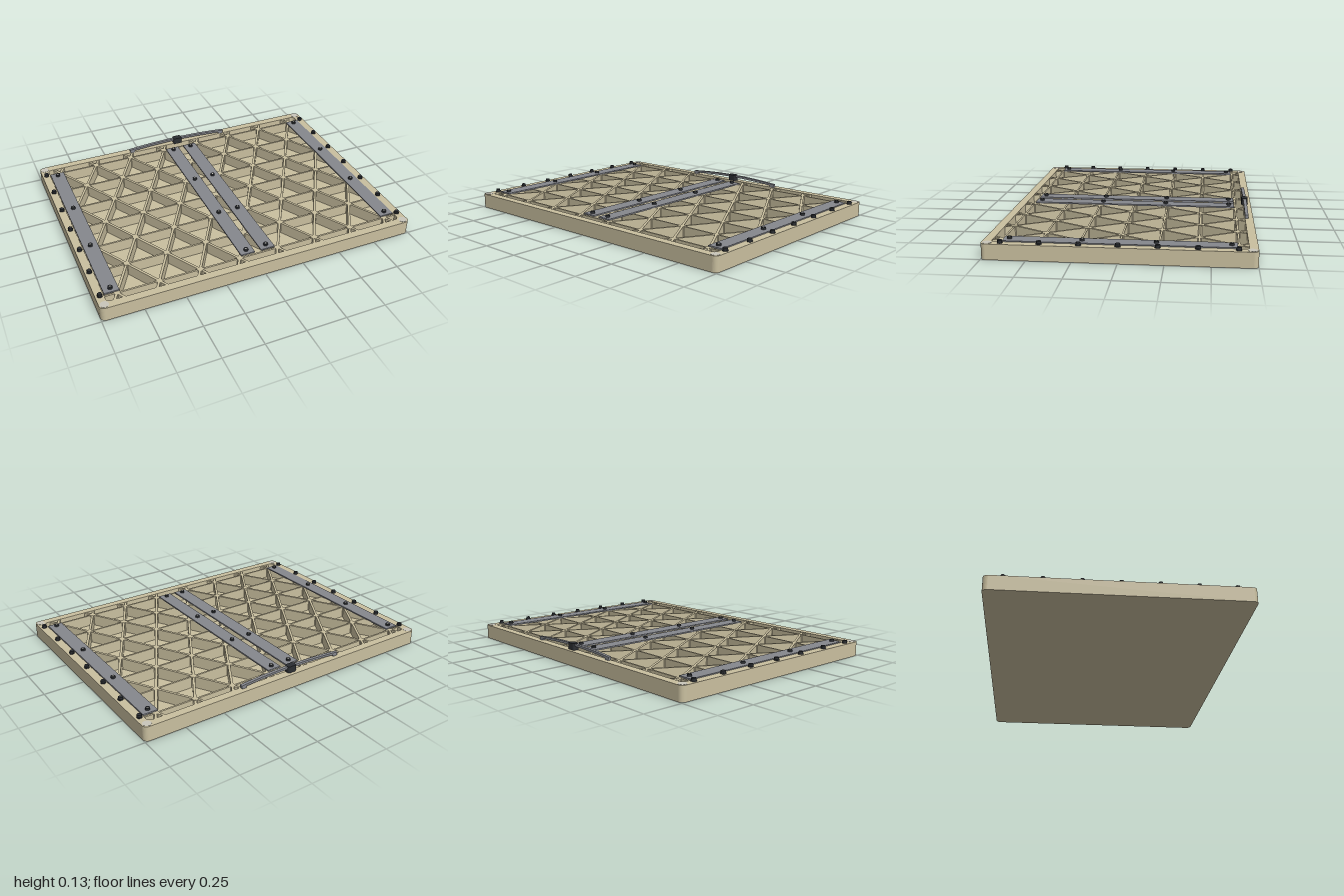
import * as THREE from 'three';

const mat = (name, color) => Object.assign(new THREE.MeshStandardMaterial({ color }), { name });

export function createModel() {
  const tan = mat('tan panel', 0xc9bf9f);
  const steel = mat('grey metal', 0x85878d);
  const dark = mat('dark hardware', 0x2b2e32);
  const pale = mat('pale corner and sockets', 0xc9c6ba);
  const root = new THREE.Group();
  root.name = 'stiffenedPanel';

  const add = (name, geo, m, x = 0, y = 0, z = 0, parent = root) => {
    const mesh = new THREE.Mesh(geo, m);
    mesh.name = name;
    mesh.position.set(x, y, z);
    parent.add(mesh);
    return mesh;
  };
  const group = (name) => {
    const g = new THREE.Group();
    g.name = name;
    root.add(g);
    return g;
  };

  // Rounded rectangle outline, extruded upwards
  const outline = (w, d, r, path = new THREE.Shape()) => {
    const a = w / 2, b = d / 2;
    path.moveTo(-a + r, -b);
    path.lineTo(a - r, -b);
    path.absarc(a - r, -b + r, r, -Math.PI / 2, 0);
    path.lineTo(a, b - r);
    path.absarc(a - r, b - r, r, 0, Math.PI / 2);
    path.lineTo(-a + r, b);
    path.absarc(-a + r, b - r, r, Math.PI / 2, Math.PI);
    path.lineTo(-a, -b + r);
    path.absarc(-a + r, -b + r, r, Math.PI, Math.PI * 1.5);
    return path;
  };
  const slab = (shape, depth) =>
    new THREE.ExtrudeGeometry(shape, { depth, bevelEnabled: false, curveSegments: 8 }).rotateX(-Math.PI / 2);

  // Tray: outer frame and closed floor
  const frame = outline(2, 1.5, 0.03);
  frame.holes.push(outline(1.9, 1.4, 0.025, new THREE.Path()));
  add('outerFrame', slab(frame, 0.09), tan);
  add('floor', slab(outline(1.9, 1.4, 0.025), 0.015), tan);

  // Triangular rib grid
  const ribs = group('ribGrid');
  const pitch = 0.25, row = 0.2165, floorY = 0.012;
  const rib = (x1, z1, x2, z2, width, top) => {
    const len = Math.hypot(x2 - x1, z2 - z1);
    const m = add('rib', new THREE.BoxGeometry(len, top - floorY, width), tan,
      (x1 + x2) / 2, (top + floorY) / 2, (z1 + z2) / 2, ribs);
    m.rotation.y = -Math.atan2(z2 - z1, x2 - x1);
  };
  for (let j = -3; j <= 3; j++) rib(-0.96, j * row, 0.96, j * row, 0.011, 0.086);
  const slope = pitch / 2 / row;
  for (const s of [-1, 1]) {
    for (let i = -5; i <= 5; i++) {
      // each diagonal is x = c + s * slope * z, cut at the frame
      const c = i * pitch;
      const za = (-0.96 - c) / (s * slope), zb = (0.96 - c) / (s * slope);
      const z1 = Math.max(-0.71, Math.min(za, zb)), z2 = Math.min(0.71, Math.max(za, zb));
      if (z2 - z1 > 0.03) rib(c + s * slope * z1, z1, c + s * slope * z2, z2, 0.015, 0.087);
    }
  }
  const nodeGeo = new THREE.CylinderGeometry(0.019, 0.019, 0.0755, 12);
  for (let j = -3; j <= 3; j++) {
    const shift = j % 2 ? pitch / 2 : 0;
    for (let i = -4; i <= 3; i++) {
      const x = i * pitch + shift;
      if (Math.abs(x) < 0.93) add('ribNode', nodeGeo, tan, x, 0.04975, j * row, ribs);
    }
  }

  // Mounting strips with socket bolts
  const strips = group('mountingStrips');
  const boltGeo = new THREE.CylinderGeometry(0.014, 0.014, 0.02, 12);
  const socketGeo = new THREE.CylinderGeometry(0.005, 0.005, 0.002, 6);
  for (const x of [-0.902, -0.065, 0.065, 0.902]) {
    add('strip', new THREE.BoxGeometry(0.09, 0.009, 1.28), steel, x, 0.0905, 0, strips);
    for (const z of [-0.608, -0.203, 0.203, 0.608]) {
      add('stripBolt', boltGeo, dark, x, 0.097, z, strips);
      add('boltSocket', socketGeo, pale, x, 0.1072, z, strips);
    }
  }

  // Bolts along the two side rails
  const railBolts = group('railBolts');
  const washerGeo = new THREE.CylinderGeometry(0.016, 0.016, 0.006, 14);
  const headGeo = new THREE.CylinderGeometry(0.014, 0.014, 0.016, 6);
  for (const x of [-0.972, 0.972]) {
    for (let j = -3; j <= 3; j++) {
      add('railWasher', washerGeo, dark, x, 0.093, j * 0.2145, railBolts);
      add('railBolt', headGeo, dark, x, 0.1, j * 0.2145, railBolts);
    }
  }

  // Pale inlays on the four corners
  for (const x of [-0.968, 0.968]) for (const z of [-0.718, 0.718])
    add('cornerInlay', new THREE.CylinderGeometry(0.026, 0.026, 0.002, 16), pale, x, 0.0902, z);

  // Bowed handle bar at the back with its central clasp
  const handle = group('backHandle');
  const bow = new THREE.Shape();
  bow.moveTo(-0.357, 0.097);
  bow.quadraticCurveTo(0, 0.131, 0.357, 0.097);
  bow.lineTo(0.357, 0.111);
  bow.quadraticCurveTo(0, 0.145, -0.357, 0.111);
  bow.closePath();
  add('handleBar', new THREE.ExtrudeGeometry(bow, { depth: 0.02, bevelEnabled: false, curveSegments: 16 }),
    steel, 0, 0, -0.72, handle);
  for (const x of [-0.34, 0.34])
    add('handleFoot', new THREE.BoxGeometry(0.03, 0.012, 0.02), steel, x, 0.094, -0.71, handle);
  const clasp = slab(outline(0.06, 0.04, 0.012), 0.042);
  add('clasp', clasp, dark, 0, 0.089, -0.71, handle);

  return root;
}
